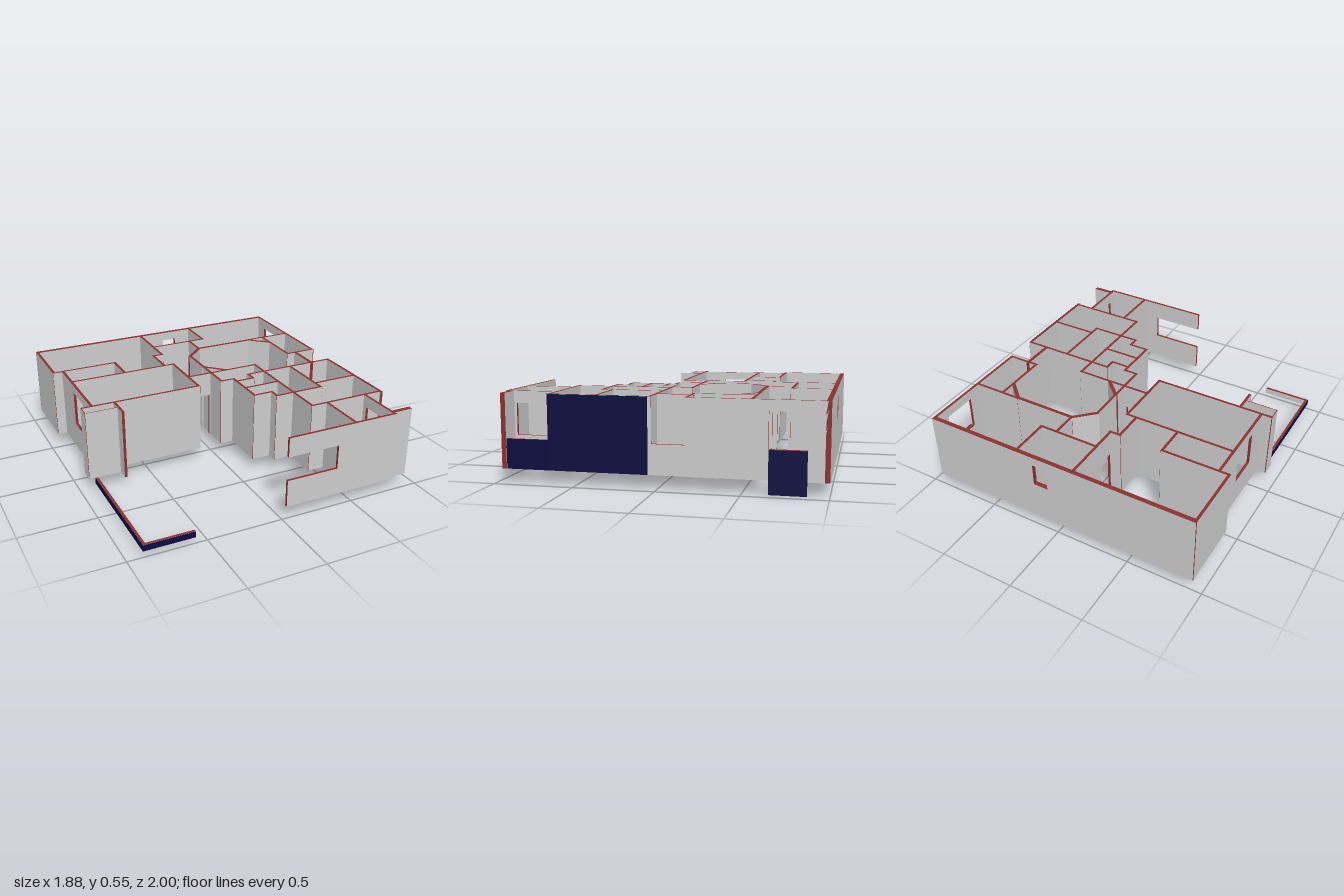
import * as THREE from 'three';

const FLOOR = 0.08, TOP = 0.545, SILL = 0.265, DOOR = 0.385, T = 0.018;

export function createModel() {
  const model = new THREE.Group();
  model.name = 'housePlan';
  const grey = new THREE.MeshStandardMaterial({ color: 0xcccccc });
  const red = new THREE.MeshStandardMaterial({ color: 0x8b3030 });
  const navy = new THREE.MeshStandardMaterial({ color: 0x0b0b40 });

  // Upright slab between two plan points: grey faces, red cut edges.
  // The opening is [from, to, y0, y1] along the wall's axis; at floor level it is a doorway.
  function wall(name, x0, z0, x1, z1, { t = T, y0 = FLOOR, y1 = TOP, opening } = {}) {
    const dx = x1 - x0, dz = z1 - z0, length = Math.hypot(dx, dz);
    const e = t / 2 - 0.002; // overlap at corners
    const shape = new THREE.Shape();
    shape.moveTo(-e, y0);
    if (opening) {
      const start = Math.abs(dx) > Math.abs(dz) ? x0 : z0;
      const [a, b, low, high] = opening;
      const isDoor = low <= y0;
      const path = isDoor ? shape : new THREE.Path();
      path[isDoor ? 'lineTo' : 'moveTo'](a - start, low);
      path.lineTo(a - start, high);
      path.lineTo(b - start, high);
      path.lineTo(b - start, low);
      if (!isDoor) {
        path.closePath();
        shape.holes.push(path);
      }
    }
    shape.lineTo(length + e, y0);
    shape.lineTo(length + e, y1);
    shape.lineTo(-e, y1);
    shape.closePath();
    const geometry = new THREE.ExtrudeGeometry(shape, { depth: t, bevelEnabled: false });
    geometry.translate(0, 0, -t / 2);
    const mesh = new THREE.Mesh(geometry, [grey, red]);
    mesh.position.set(x0, 0, z0);
    mesh.rotation.y = -Math.atan2(dz, dx);
    mesh.name = name;
    model.add(mesh);
  }

  // Chain of walls turning a right angle at each stop, starting along the given axis
  function run(name, x, z, axis, ...stops) {
    for (const stop of stops) {
      const nextX = axis === 'x' ? stop : x, nextZ = axis === 'z' ? stop : z;
      wall(name, x, z, nextX, nextZ);
      [x, z, axis] = [nextX, nextZ, axis === 'x' ? 'z' : 'x'];
    }
  }

  // Thin box given by its limits
  function panel(name, x0, x1, y0, y1, z0, z1, material) {
    const mesh = new THREE.Mesh(new THREE.BoxGeometry(x1 - x0, y1 - y0, z1 - z0), material);
    mesh.position.set((x0 + x1) / 2, (y0 + y1) / 2, (z0 + z1) / 2);
    mesh.name = name;
    model.add(mesh);
  }

  // Outer walls
  wall('backWall', -0.926, -0.985, 0.911, -0.985, { t: 0.03, opening: [0.055, 0.155, 0.335, 0.485] });
  wall('leftSideBackWall', 0.915, -0.985, 0.915, -0.17, { opening: [-0.875, -0.65, 0.26, 0.48] });
  wall('leftSideLowWall', 0.91, -0.17, 0.91, 0.045, { y1: SILL });
  wall('leftSideWall', 0.91, 0.045, 0.91, 0.68);
  wall('leftSideSillWall', 0.91, 0.68, 0.91, 0.955, { y1: SILL });
  wall('frontCornerWall', 0.80, 0.962, 0.915, 0.962, { t: 0.03 });
  wall('rightSideBackWall', -0.931, -0.985, -0.931, -0.552);
  wall('rightSideWall', -0.866, -0.552, -0.866, 0.08, { opening: [-0.29, -0.08, 0.26, 0.49] });

  // Front wall with its opening running out to the free end
  wall('frontWall', 0.387, 0.991, 0.79, 0.991);
  wall('frontWallLowStrip', 0.037, 0.991, 0.387, 0.991, { y1: 0.26 });
  wall('frontWallHighStrip', 0.037, 0.991, 0.387, 0.991, { y0: 0.42 });

  // Navy facing on the outside
  panel('sideFacing', 0.917, 0.922, FLOOR, TOP - 0.001, 0.06, 0.68, navy);
  panel('sideSillFacing', 0.917, 0.922, FLOOR, SILL, 0.68, 0.948, navy);
  wall('windowBox', 0.93, -0.868, 0.93, -0.657, { t: 0.012, y0: 0, y1: 0.26 });
  panel('windowBoxFacing', 0.935, 0.938, 0, 0.26, -0.873, -0.652, navy);

  // Low garden kerb
  const kerb = { y0: 0.04, y1: FLOOR };
  wall('sideKerb', -0.889, 0.17, -0.889, 0.989, kerb);
  wall('frontKerb', -0.889, 0.989, -0.58, 0.989, kerb);
  panel('sideKerbFacing', -0.901, -0.897, 0.04, 0.079, 0.165, 1, navy);
  panel('frontKerbFacing', -0.901, -0.572, 0.04, 0.079, 0.997, 1, navy);

  // Porch cupboard
  wall('porchWall', -0.717, 0.08, -0.717, 0.235);
  wall('cupboardSide', -0.937, 0.08, -0.937, 0.164, { t: 0.006 });
  wall('cupboardFront', -0.937, 0.164, -0.72, 0.164, { t: 0.006 });

  // Right-hand rooms
  run('rightBackPartition', -0.931, -0.552, 'x', -0.487, -0.348);
  run('rightRoomWall', -0.866, -0.348, 'x', -0.125, 0.08, -0.93);
  run('hallNook', -0.125, -0.552, 'x', -0.192, -0.348);

  // Back rooms
  run('backRoomWall', 0.278, -0.975, 'z', -0.718, -0.125);
  wall('backDoorWall', -0.125, -0.975, -0.125, -0.552, { opening: [-0.69, -0.58, FLOOR, DOOR] });
  wall('lobbyDoorWall', 0.167, -0.718, 0.167, -0.552, { opening: [-0.685, -0.58, FLOOR, DOOR] });

  // Cut-corner room
  const thick = { t: 0.024 };
  wall('kitchenBackWall', 0.167, -0.548, 0.59, -0.548, thick);
  wall('kitchenCorner', 0.16, -0.543, 0.048, -0.432, thick);
  wall('kitchenCorner', 0.048, -0.205, 0.158, -0.095, thick);
  wall('kitchenCorner', 0.59, -0.543, 0.702, -0.438, thick);
  run('sideRoomBackWall', 0.59, -0.553, 'x', 0.91);
  run('sideRoomWall', 0.708, -0.553, 'z', -0.172, 0.912);
  wall('recessWall', 0.772, -0.172, 0.772, 0.045, thick);
  wall('hallDoorWall', -0.125, -0.088, 0.39, -0.088, { opening: [-0.09, 0.03, FLOOR, DOOR] });

  // Small stepped rooms
  run('steppedWall', 0.048, -0.432, 'z', 0.073, 0.139, 0.373, 0.266, 0.442, 0.598, 0.046, 0.266, 0.118, 0.139);
  run('closetDivider', 0.139, 0.242, 'x', 0.39);

  // Left-hand front rooms
  run('frontRoomWall', 0.39, -0.088, 'z', 0.67, 0.908);
  run('leftRoomBackWall', 0.598, 0.046, 'x', 0.91);
  run('leftRoomDivider', 0.598, 0.373, 'x', 0.908);
  run('frontDivider', 0.5, 0.67, 'z', 0.985);
  wall('frontWindowWall', 0.787, 0.67, 0.787, 0.985, { opening: [0.71, 0.93, 0.27, 0.47] });

  // Hollow kitchen island
  const island = { t: 0.014, y1: 0.25 };
  for (const z of [-0.347, -0.287]) wall('islandLongSide', 0.247, z, 0.504, z, island);
  for (const x of [0.247, 0.504]) wall('islandEnd', x, -0.347, x, -0.287, island);

  // Thin fitted-furniture fronts
  panel('closetFront', 0.333, 0.337, FLOOR, SILL, -0.08, 0.04, grey);
  panel('counterFront', 0.841, 0.845, FLOOR, SILL, 0.38, 0.662, grey);
  panel('cabinetFront', 0.756, 0.76, FLOOR, SILL, -0.3, -0.18, grey);
  panel('cabinetSide', 0.715, 0.76, FLOOR, SILL, -0.302, -0.298, grey);

  return model;
}
